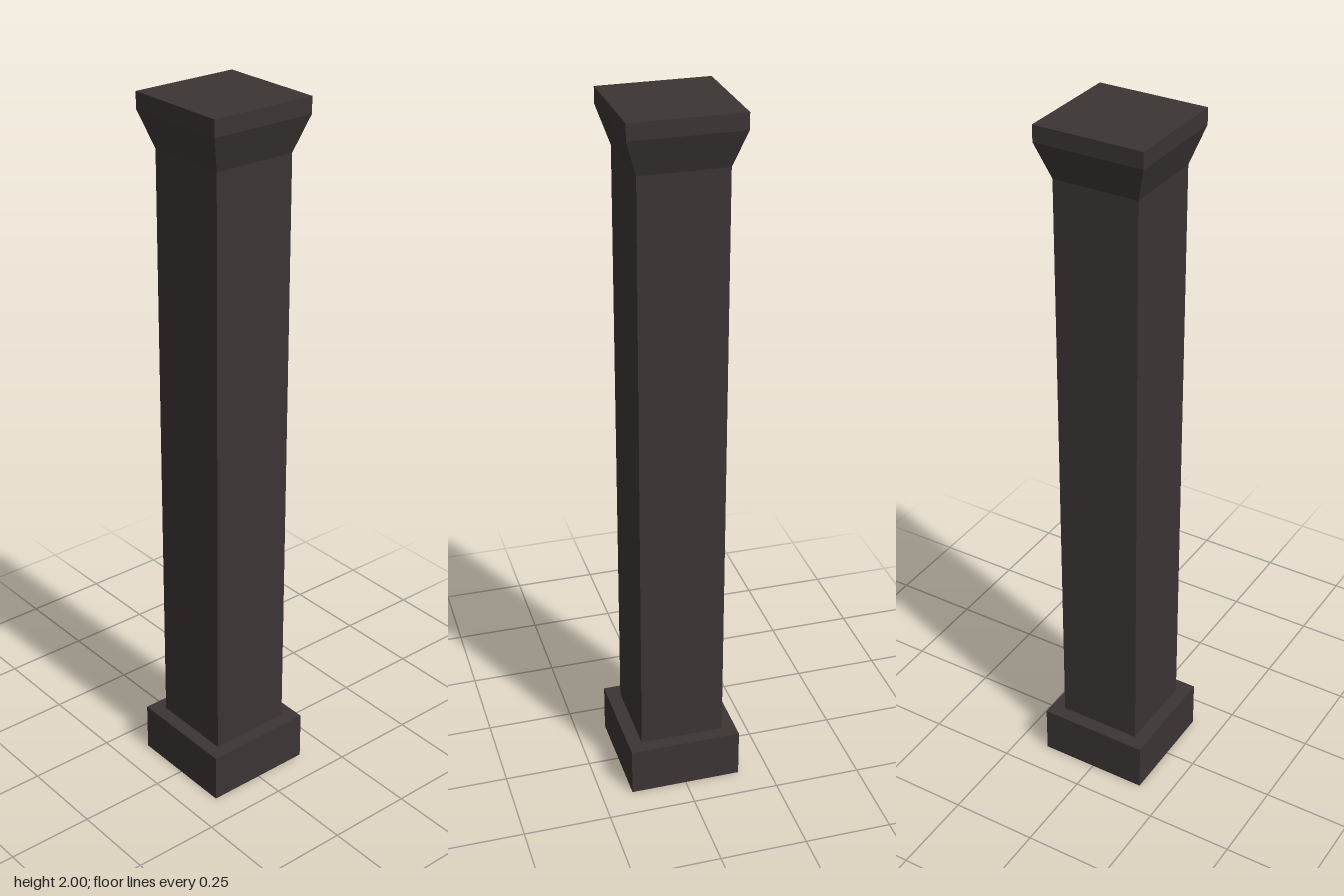
import * as THREE from 'three';

export function createModel() {
  const group = new THREE.Group();
  group.name = 'squarePillar';
  const darkStone = new THREE.MeshStandardMaterial({ color: 0x3b3534 });
  darkStone.name = 'darkStone';

  // Square block between two heights, given its half widths at bottom and top
  function block(name, y0, y1, half0, half1 = half0) {
    const h = y1 - y0;
    const geo = new THREE.BoxGeometry(2, h, 2);
    const p = geo.attributes.position;
    for (let i = 0; i < p.count; i++) {
      const s = p.getY(i) > 0 ? half1 : half0;
      p.setX(i, p.getX(i) * s);
      p.setZ(i, p.getZ(i) * s);
    }
    geo.translate(0, y0 + h / 2, 0);
    geo.computeVertexNormals();
    const mesh = new THREE.Mesh(geo, darkStone);
    mesh.name = name;
    group.add(mesh);
  }

  block('base', 0, 0.142, 0.161);
  block('shaft', 0.142, 1.855, 0.121);
  // Capital: flare below a straight slab
  block('capitalFlare', 1.855, 1.955, 0.121, 0.154);
  block('capitalSlab', 1.955, 2, 0.154);

  return group;
}
